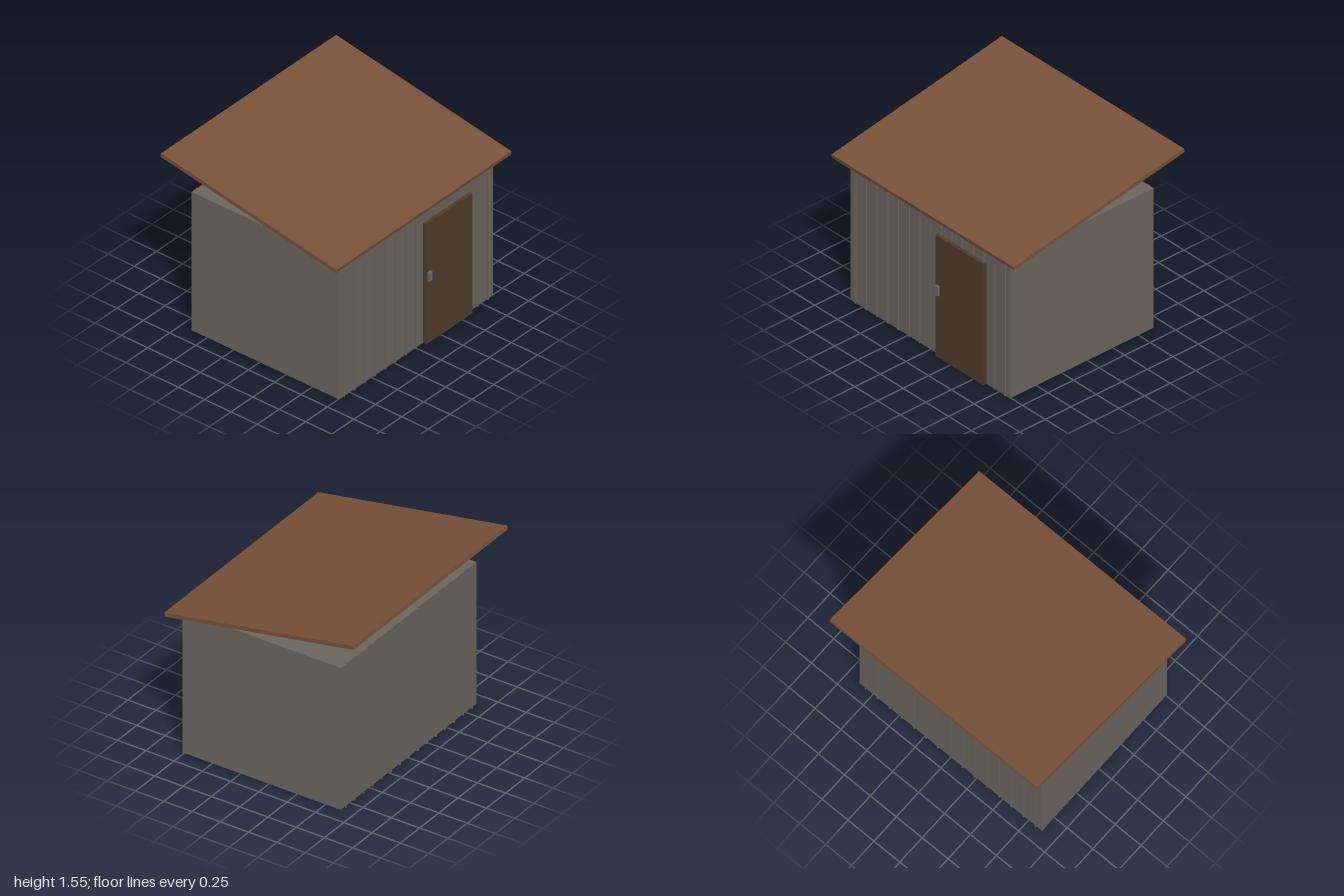
import * as THREE from 'three';

export function createModel() {
  const shed = new THREE.Group();
  shed.name = 'shed';

  const material = (name, color) => {
    const m = new THREE.MeshStandardMaterial({ color });
    m.name = name;
    return m;
  };
  const wallGrey = material('weathered grey', 0x6b665e);
  const roofBrown = material('roof brown', 0x7a5139);
  const doorBrown = material('dark door brown', 0x503c2b);
  const handleGrey = material('handle grey', 0x6b6b6b);

  // Box given by its minimum and maximum corners
  const box = (name, mat, [x0, y0, z0], [x1, y1, z1]) => {
    const mesh = new THREE.Mesh(new THREE.BoxGeometry(x1 - x0, y1 - y0, z1 - z0), mat);
    mesh.position.set((x0 + x1) / 2, (y0 + y1) / 2, (z0 + z1) / 2);
    mesh.name = name;
    return mesh;
  };

  // Solid body
  const front = 0.758, back = -0.641, proud = 0.008;
  shed.add(box('walls', wallGrey, [-0.88, 0.008, back], [0.88, 1.232, front]));

  // Thin vertical battens on the front and back walls
  const battens = new THREE.Group();
  battens.name = 'battens';
  const spacing = 0.1173, half = 0.006;
  for (let i = -7; i <= 7; i++) {
    const x = i * spacing;
    battens.add(box('frontBatten', wallGrey, [x - half, 0, front], [x + half, 1.23, front + proud]));
    battens.add(box('backBatten', wallGrey, [x - half, 0, back - proud], [x + half, 1.23, back]));
  }
  shed.add(battens);

  // Door and its handle
  shed.add(box('door', doorBrown, [0.085, 0, front], [0.615, 1.06, 0.788]));
  shed.add(box('doorHandle', handleGrey, [0.1, 0.55, 0.788], [0.133, 0.632, 0.806]));

  // Single-pitch roof slab, low at the front
  const roof = box('roof', roofBrown, [-1, -0.0165, -0.848], [1, 0.0165, 0.848]);
  roof.position.y = 1.385;
  roof.rotation.x = 0.18;
  shed.add(roof);

  return shed;
}
